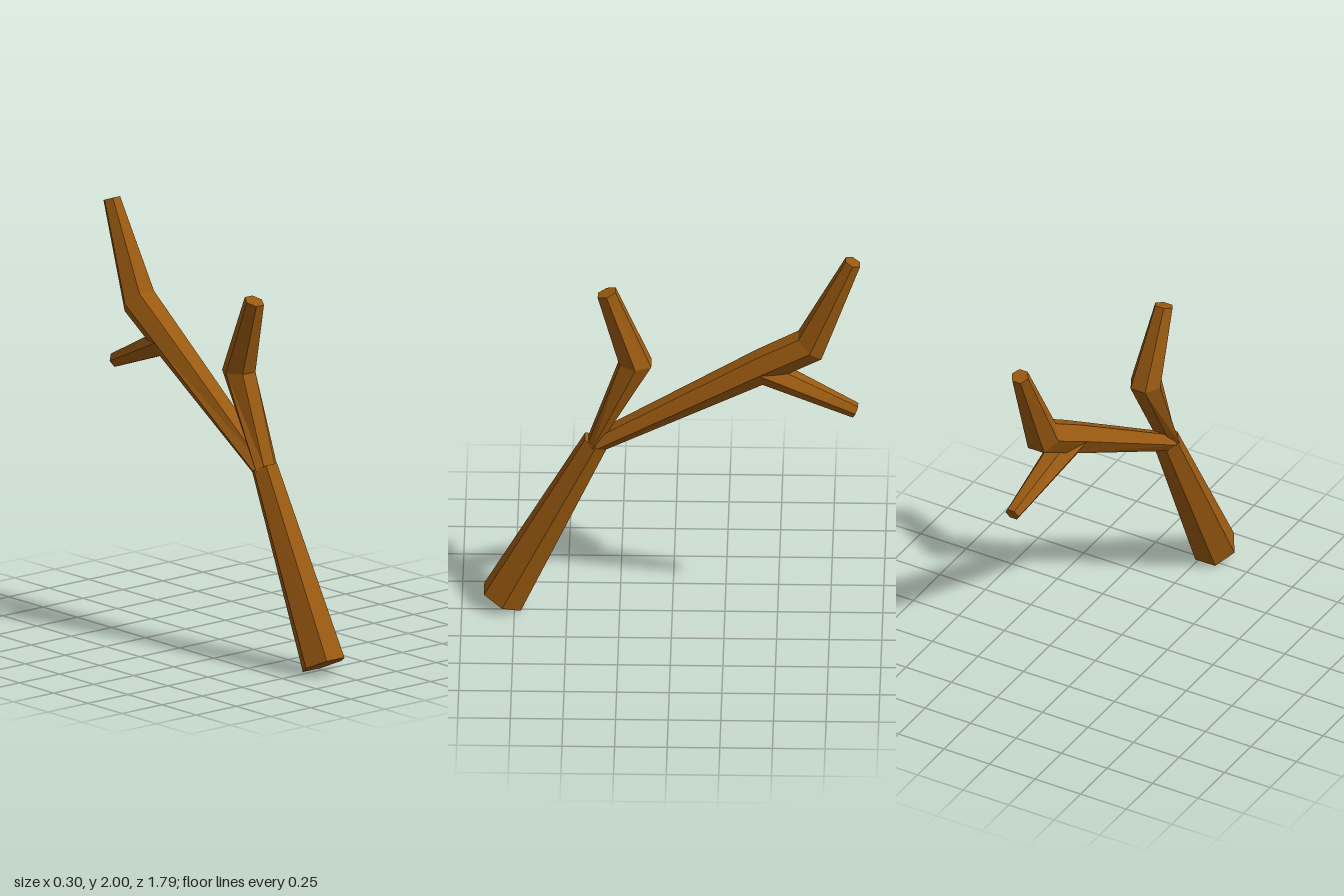
import * as THREE from 'three';

const SIDES = 6;

// One hexagonal ring: x centre, x radius, and the [z, y] of its upper and lower flats
function ringPoints([x, r, upper, lower]) {
  const mz = (upper[0] + lower[0]) / 2, my = (upper[1] + lower[1]) / 2;
  const hz = (upper[0] - lower[0]) / 2, hy = (upper[1] - lower[1]) / 2;
  const points = [];
  for (let i = 0; i < SIDES; i++) {
    const a = (i / SIDES) * Math.PI * 2;
    const s = Math.sin(a) / Math.sin(Math.PI / 3);
    points.push([x + r * Math.cos(a), my + hy * s, mz + hz * s]);
  }
  return points;
}

// Faceted limb through a row of rings, capped at both ends
function limb(name, rings, material) {
  const positions = rings.flatMap((ring) => ringPoints(ring).flat());
  const index = [];
  for (let k = 0; k < rings.length - 1; k++) {
    for (let i = 0; i < SIDES; i++) {
      const a = k * SIDES + i, b = k * SIDES + ((i + 1) % SIDES);
      index.push(a, b + SIDES, b, a, a + SIDES, b + SIDES);
    }
  }
  const last = (rings.length - 1) * SIDES;
  for (let i = 1; i < SIDES - 1; i++) {
    index.push(0, i, i + 1);
    index.push(last, last + i + 1, last + i);
  }
  const indexed = new THREE.BufferGeometry();
  indexed.setAttribute('position', new THREE.Float32BufferAttribute(positions, 3));
  indexed.setIndex(index);
  const geometry = indexed.toNonIndexed();
  geometry.computeVertexNormals();
  const mesh = new THREE.Mesh(geometry, material);
  mesh.name = name;
  return mesh;
}

export function createModel() {
  const group = new THREE.Group();
  group.name = 'branch';
  const bark = new THREE.MeshStandardMaterial({ color: 0x9a5a10, flatShading: true });

  // Thick lower stem
  group.add(limb('stem', [
    [-0.04, 0.11, [0.895, 0.09], [0.72, 0.003]],
    [-0.03, 0.068, [0.415, 0.95], [0.315, 0.895]],
  ], bark));

  // Short upright fork with a forward bend
  group.add(limb('shortFork', [
    [-0.03, 0.067, [0.4, 0.935], [0.36, 0.9]],
    [-0.03, 0.08, [0.25, 1.365], [0.1, 1.36]],
    [-0.05, 0.047, [0.355, 1.72], [0.27, 1.75]],
  ], bark));

  // Long fork reaching back, then turning up
  const junction = [0.035, 0.085, [-0.4, 1.455], [-0.43, 1.31]];
  group.add(limb('longFork', [
    [-0.03, 0.067, [0.395, 0.94], [0.315, 0.897]],
    junction,
    [0.058, 0.09, [-0.6, 1.575], [-0.71, 1.47]],
    [0.06, 0.045, [-0.825, 2.0], [-0.893, 1.973]],
  ], bark));

  // Side twig pointing back and down
  group.add(limb('twig', [
    junction,
    [0.095, 0.037, [-0.885, 1.215], [-0.86, 1.155]],
  ], bark));

  return group;
}
